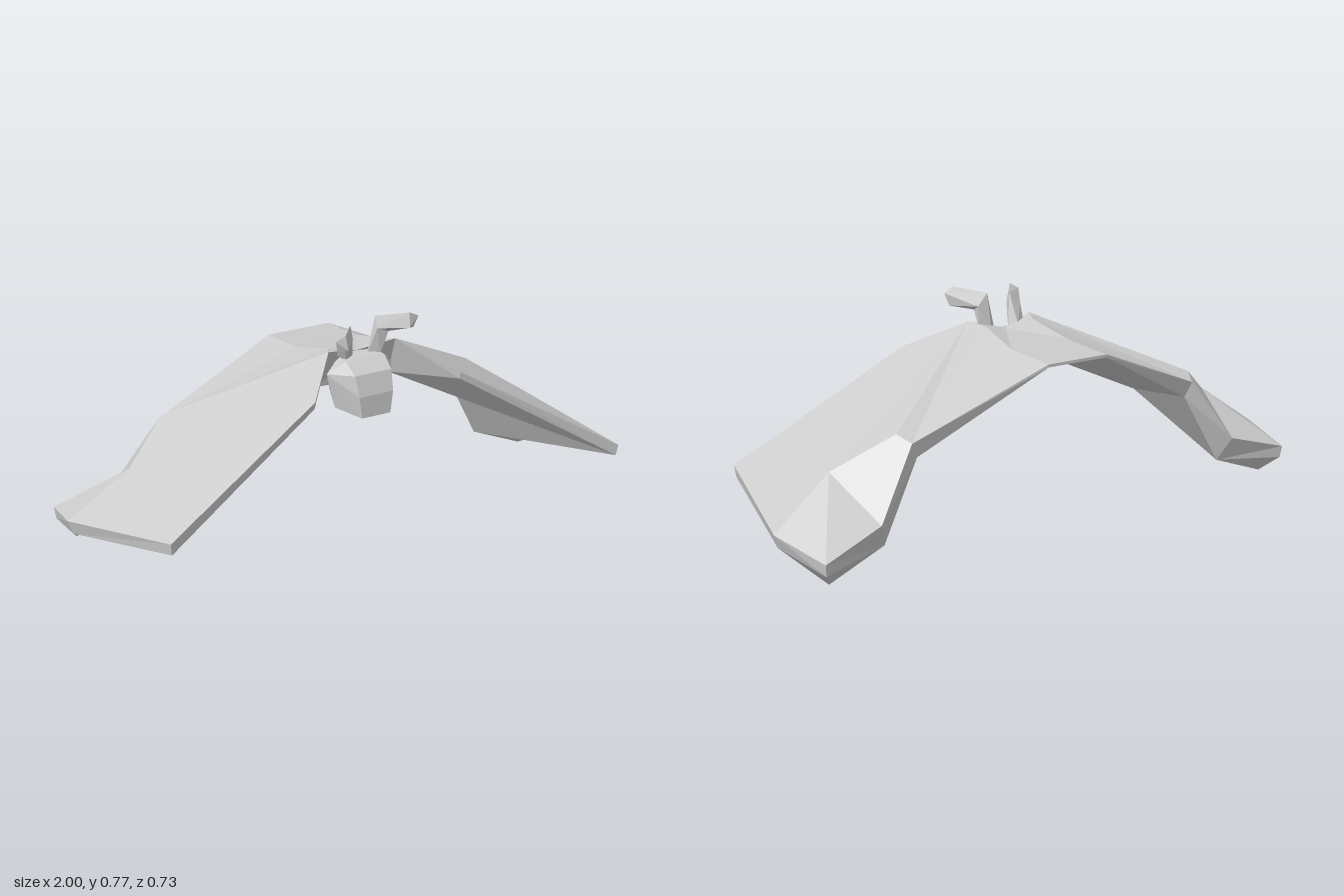
import * as THREE from 'three';
import { ConvexGeometry } from 'three/addons/geometries/ConvexGeometry.js';

const material = new THREE.MeshStandardMaterial({ color: 0xcccccc, flatShading: true, side: THREE.DoubleSide });

// Corners of the left half; capitals lie on top, small letters underneath
const corners = {
  A: [0.13, 0.665, 0.06], a: [0.14, 0.525, 0.0],      // shoulder
  F: [0.28, 0.57, 0.23], f: [0.28, 0.545, 0.225],     // leading corner
  T: [0.865, 0.225, 0.36], t: [0.86, 0.185, 0.355],   // front tip
  O: [1.0, 0.135, -0.12], o: [0.985, 0.09, -0.115],   // outer corner
  K: [0.955, 0.09, -0.345], k: [0.95, 0.05, -0.34],   // rear tip
  P: [0.735, 0.165, -0.32], p: [0.70, 0.085, -0.28],  // rear hand edge
  G: [0.585, 0.39, -0.27], g: [0.56, 0.34, -0.26],    // elbow
  D: [0.12, 0.595, -0.365], d: [0.12, 0.585, -0.365], // tail corner
  R: [0.785, 0.295, -0.10], E: [0.61, 0.415, -0.22],  // ridge
  B: [0.10, 0.655, 0.0], C: [0.12, 0.61, -0.17],      // back
  m: [0.905, 0.0, -0.28],                             // lowest point of the hand
  N: [0, 0.635, 0.02], n: [0, 0.52, 0.0],             // centre line
  Q: [0, 0.61, -0.17], S: [0, 0.595, -0.365], s: [0, 0.585, -0.365],
};

const wingFaces = ['AFTRE', 'TOR', 'OKR', 'KPR', 'PER', 'PGE', 'AEGB', 'BGC', 'GDC',
  'atf', 'agt', 'gpt', 'pot', 'pmo', 'mko', 'pkm', 'adg'];
const bodyFaces = ['NAB', 'NBCQ', 'QCDS', 'nsda', 'NnaA', 'DdsS'];

// Rim joining the upper and lower wing outlines
const rim = 'AFTOKPGD';
for (let i = 0; i < rim.length - 1; i++) {
  const u = rim[i], v = rim[i + 1];
  wingFaces.push(u + u.toLowerCase() + v.toLowerCase() + v);
}

// The right wing is held slightly higher and further back
function place([x, y, z], side) {
  if (side > 0) return [x, y, z];
  const reach = Math.max(0, (x - 0.2) / 0.8);
  return [-x, y + 0.055 * reach, z - 0.01 * reach];
}

// Fans each lettered polygon into triangles
function shell(name, faces, sides) {
  const pos = [];
  for (const side of sides) {
    for (const face of faces) {
      for (let i = 1; i < face.length - 1; i++) {
        const tri = side > 0 ? [0, i, i + 1] : [0, i + 1, i];
        for (const j of tri) pos.push(...place(corners[face[j]], side));
      }
    }
  }
  const geo = new THREE.BufferGeometry();
  geo.setAttribute('position', new THREE.Float32BufferAttribute(pos, 3));
  geo.computeVertexNormals();
  const mesh = new THREE.Mesh(geo, material);
  mesh.name = name;
  return mesh;
}

function hull(name, points) {
  const mesh = new THREE.Mesh(new ConvexGeometry(points.map((p) => new THREE.Vector3(...p))), material);
  mesh.name = name;
  return mesh;
}

// Ear: a narrow stalk flaring into a forward blade
const earRings = [
  [[0.03, 0.62, 0.04], [0.07, 0.62, 0.06], [0.10, 0.64, 0.035], [0.06, 0.64, 0.02]],
  [[0.055, 0.715, 0.065], [0.095, 0.70, 0.07], [0.10, 0.715, 0.04], [0.055, 0.755, 0.05]],
  [[0.135, 0.725, 0.14], [0.165, 0.715, 0.115], [0.178, 0.757, 0.125], [0.14, 0.775, 0.13]],
];
function ear(name, side) {
  const group = new THREE.Group();
  group.name = name;
  const rings = earRings.map((ring, i) => ring.map(([x, y, z]) =>
    side > 0 ? [x, y, z] : [-x * 0.88, y - 0.012 * i, z + 0.014 * i]));
  group.add(hull('earStalk', [...rings[0], ...rings[1]]), hull('earBlade', [...rings[1], ...rings[2]]));
  return group;
}

export function createModel() {
  const model = new THREE.Group();
  model.name = 'bat';
  model.add(shell('leftWing', wingFaces, [1]), shell('rightWing', wingFaces, [-1]));
  model.add(shell('body', bodyFaces, [1, -1]));

  // Head with a blunt snout
  const half = [
    [0.07, 0.59, 0.13], [0.065, 0.52, 0.15], [0.055, 0.445, 0.15],
    [0.125, 0.58, 0.04], [0.10, 0.46, 0.05], [0.075, 0.625, 0.08],
    [0.08, 0.50, -0.02], [0.06, 0.635, 0.02],
  ];
  model.add(hull('head', half.flatMap(([x, y, z]) => [[x, y, z], [-x, y, z]])));
  model.add(ear('leftEar', 1), ear('rightEar', -1));
  return model;
}
